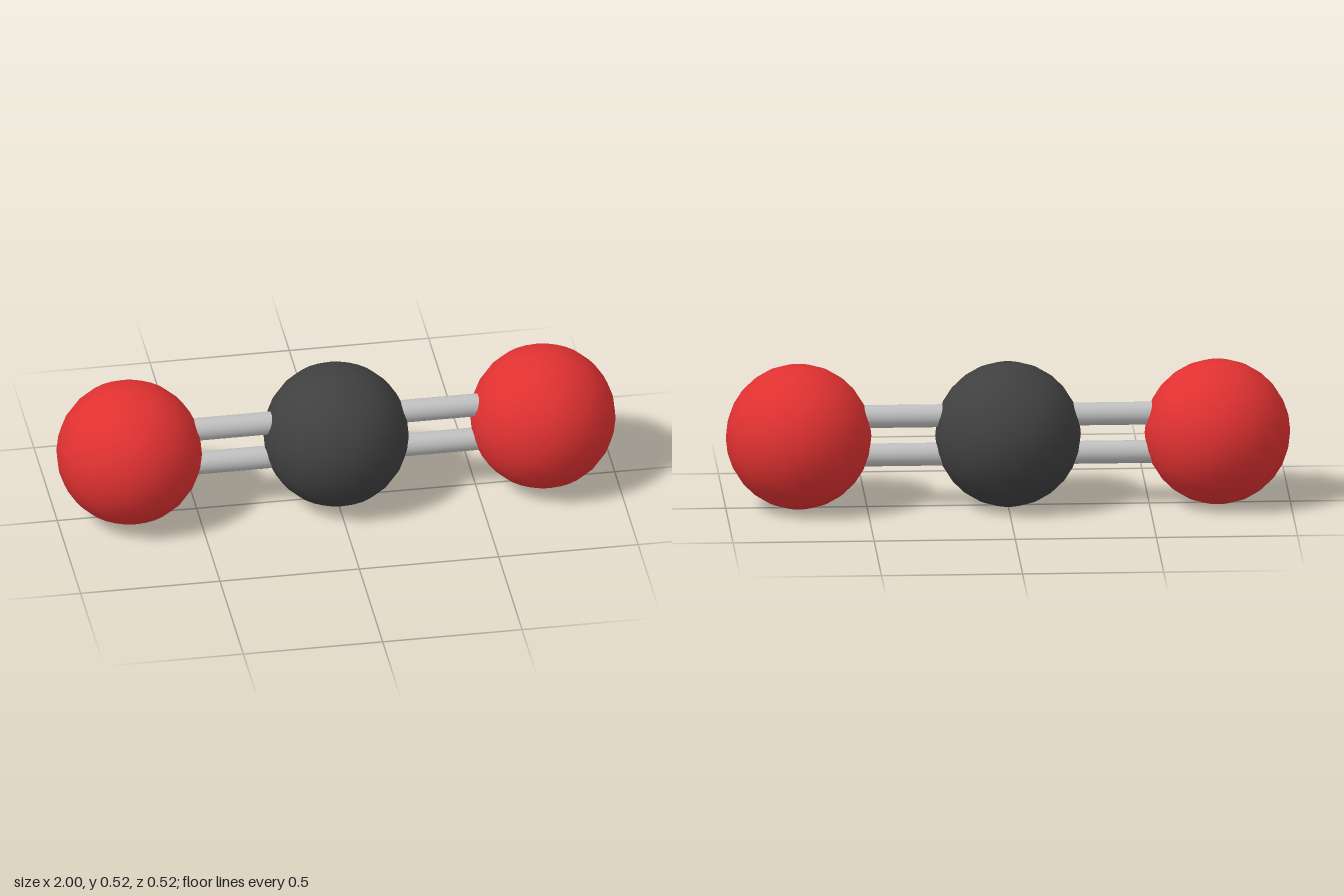
import * as THREE from 'three';

export function createModel() {
  const model = new THREE.Group();
  const R = 0.258, SPAN = 1 - R, BOND_OFFSET = 0.07, BOND_RADIUS = 0.041;

  const red = new THREE.MeshStandardMaterial({ name: 'red', color: 0xe03131 });
  const charcoal = new THREE.MeshStandardMaterial({ name: 'charcoal', color: 0x404040 });
  const grey = new THREE.MeshStandardMaterial({ name: 'light grey', color: 0xc0c0c0 });

  const ball = new THREE.SphereGeometry(R, 28, 14);
  const rod = new THREE.CylinderGeometry(BOND_RADIUS, BOND_RADIUS, SPAN, 16).rotateZ(Math.PI / 2);

  const add = (name, geometry, material, x, y) => {
    const mesh = new THREE.Mesh(geometry, material);
    mesh.name = name;
    mesh.position.set(x, y, 0);
    model.add(mesh);
  };

  // Central atom
  add('centreAtom', ball, charcoal, 0, R);

  // Outer atoms, each joined to the centre by a pair of rods
  for (const [side, s] of [['left', 1], ['right', -1]]) {
    add(side + 'Atom', ball, red, s * SPAN, R);
    add(side + 'UpperBond', rod, grey, s * SPAN / 2, R + BOND_OFFSET);
    add(side + 'LowerBond', rod, grey, s * SPAN / 2, R - BOND_OFFSET);
  }

  model.name = 'linearMolecule';
  return model;
}
